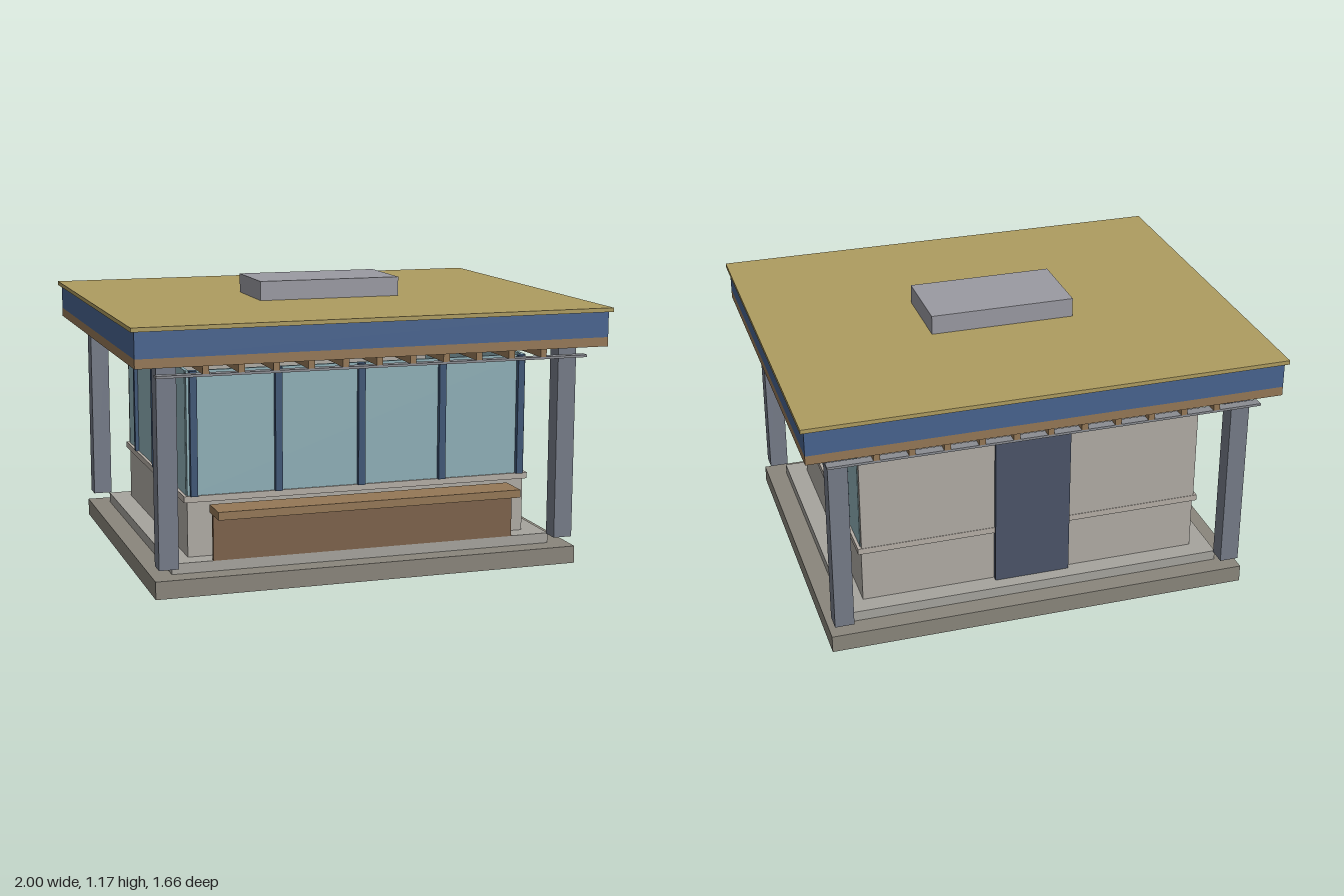
import * as THREE from 'three';

const COLORS = {
  slab: 0x8a867c, step: 0xa6a49e, wall: 0xb0aca5, sill: 0xb5aea6, glass: 0x8fb0b8,
  frame: 0x3e5676, post: 0x757b88, panel: 0x7d624a, wood: 0x957856, fascia: 0x47638f,
  roof: 0xae9c60, unit: 0x9a9aa2, door: 0x4b5468, rail: 0x8a8c92,
};
const materials = {};
for (const key in COLORS) materials[key] = new THREE.MeshStandardMaterial({ color: COLORS[key] });

export function createModel() {
  const group = new THREE.Group();

  // Box given by its [min, max] range on each axis
  function box(name, color, [x0, x1], [y0, y1], [z0, z1]) {
    const mesh = new THREE.Mesh(new THREE.BoxGeometry(x1 - x0, y1 - y0, z1 - z0), materials[color]);
    mesh.position.set((x0 + x1) / 2, (y0 + y1) / 2, (z0 + z1) / 2);
    mesh.name = name;
    group.add(mesh);
  }
  const sym = (h) => [-h, h];
  const around = (c, w) => [c - w / 2, c + w / 2];

  // Stepped base, low wall and sill
  box('baseSlab', 'slab', sym(0.9), [0, 0.073], sym(0.732));
  box('floorStep', 'step', sym(0.815), [0.073, 0.116], sym(0.647));
  box('lowerWall', 'wall', sym(0.73), [0.116, 0.343], sym(0.565));
  box('sill', 'sill', sym(0.745), [0.343, 0.369], sym(0.577));

  // Upper walls: glass on three sides, solid at the back
  const glassY = [0.369, 0.876];
  box('frontGlass', 'glass', sym(0.73), glassY, [0.555, 0.57]);
  for (const s of [-1, 1]) box('sideGlass', 'glass', around(s * 0.725, 0.015), glassY, [-0.555, 0.555]);
  box('backWall', 'wall', sym(0.73), glassY, [-0.575, -0.553]);
  box('backDoor', 'door', sym(0.162), [0.116, 0.79], [-0.59, -0.56]);

  // Window mullions
  for (const x of [-0.705, -0.353, 0, 0.353, 0.705])
    box('frontMullion', 'frame', around(x, 0.029), glassY, [0.564, 0.592]);
  for (const s of [-1, 1])
    for (const z of [-0.368, 0, 0.368])
      box('sideMullion', 'frame', around(s * 0.735, 0.026), glassY, around(z, 0.027));

  // Serving counter
  box('counterPanel', 'panel', sym(0.645), [0.116, 0.302], [0.632, 0.65]);
  box('counterTop', 'wood', sym(0.645), [0.302, 0.335], [0.595, 0.736]);

  // Corner posts
  for (const sx of [-1, 1])
    for (const sz of [-1, 1])
      box('cornerPost', 'post', around(sx * 0.845, 0.08), [0.116, 0.932], around(sz * 0.692, 0.077));

  // Rafters with a rail under each end
  for (let i = -5; i <= 5; i++)
    box('rafter', 'wood', around(i * 0.141, 0.026), [0.899, 0.932], sym(0.803));
  for (const s of [-1, 1])
    box('eaveRail', 'rail', sym(0.9), [0.889, 0.899], around(s * 0.782, 0.04));

  // Roof layers and rooftop unit
  box('soffit', 'wood', sym(0.985), [0.932, 0.97], sym(0.817));
  box('fascia', 'fascia', sym(0.985), [0.97, 1.075], sym(0.817));
  box('roofSheet', 'roof', sym(1), [1.075, 1.092], sym(0.831));
  box('rooftopUnit', 'unit', sym(0.308), [1.092, 1.173], sym(0.168));

  return group;
}
